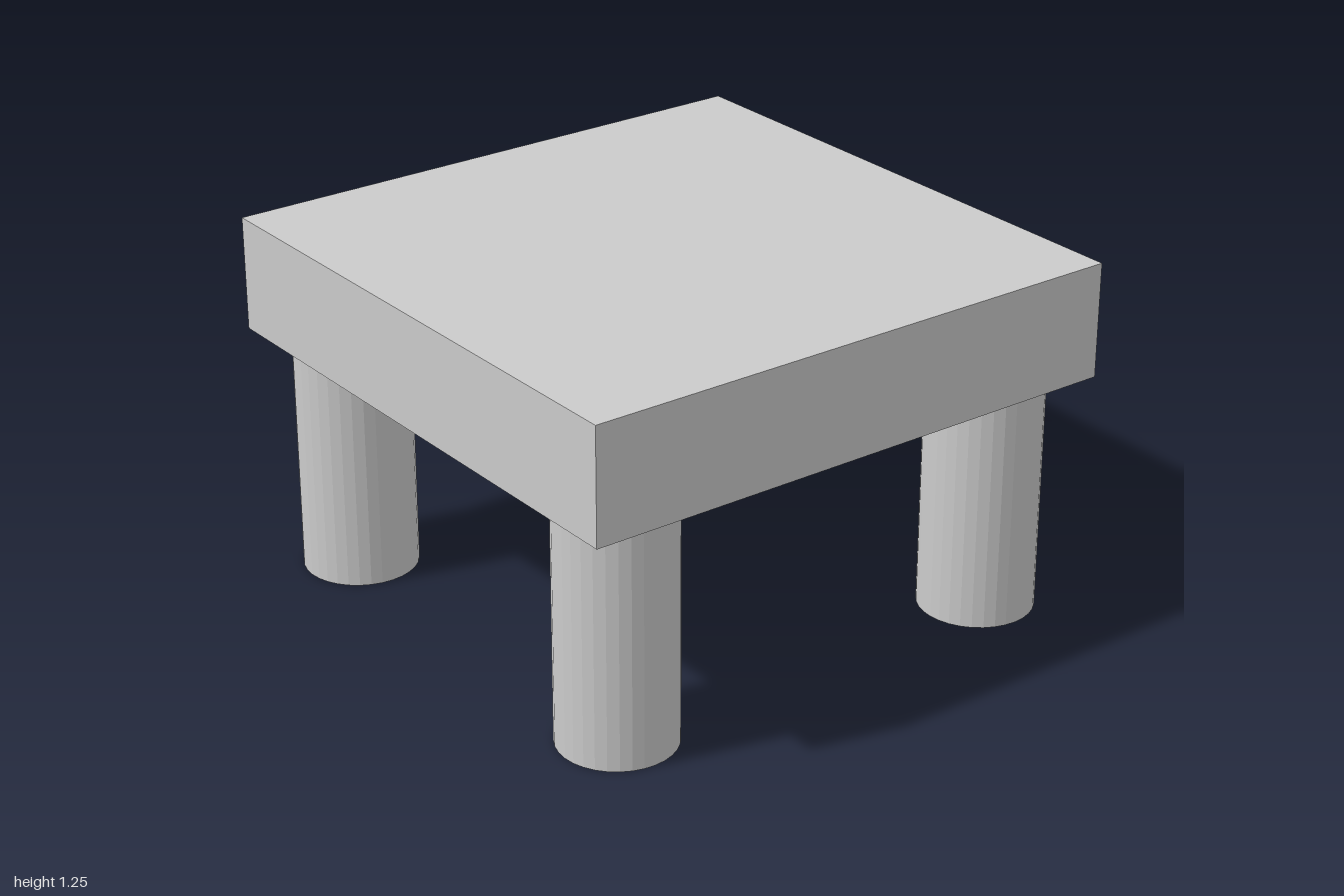
import * as THREE from 'three';

export function createModel() {
  const model = new THREE.Group();
  model.name = 'table';
  const material = new THREE.MeshStandardMaterial({ color: 0xcccccc, flatShading: true });

  const height = 1.25, topThickness = 0.4;
  const legHeight = height - topThickness, legRadius = 0.2, legOffset = 0.75;

  // Thick square slab
  const top = new THREE.Mesh(new THREE.BoxGeometry(2, topThickness, 2), material);
  top.name = 'tableTop';
  top.position.y = height - topThickness / 2;
  model.add(top);

  // Four round legs, one near each corner
  const legGeometry = new THREE.CylinderGeometry(legRadius, legRadius, legHeight, 32);
  for (const [sz, end] of [[1, 'front'], [-1, 'back']]) {
    for (const [sx, side] of [[1, 'Left'], [-1, 'Right']]) {
      const leg = new THREE.Mesh(legGeometry, material);
      leg.name = `${end}${side}Leg`;
      leg.position.set(sx * legOffset, legHeight / 2, sz * legOffset);
      model.add(leg);
    }
  }
  return model;
}
